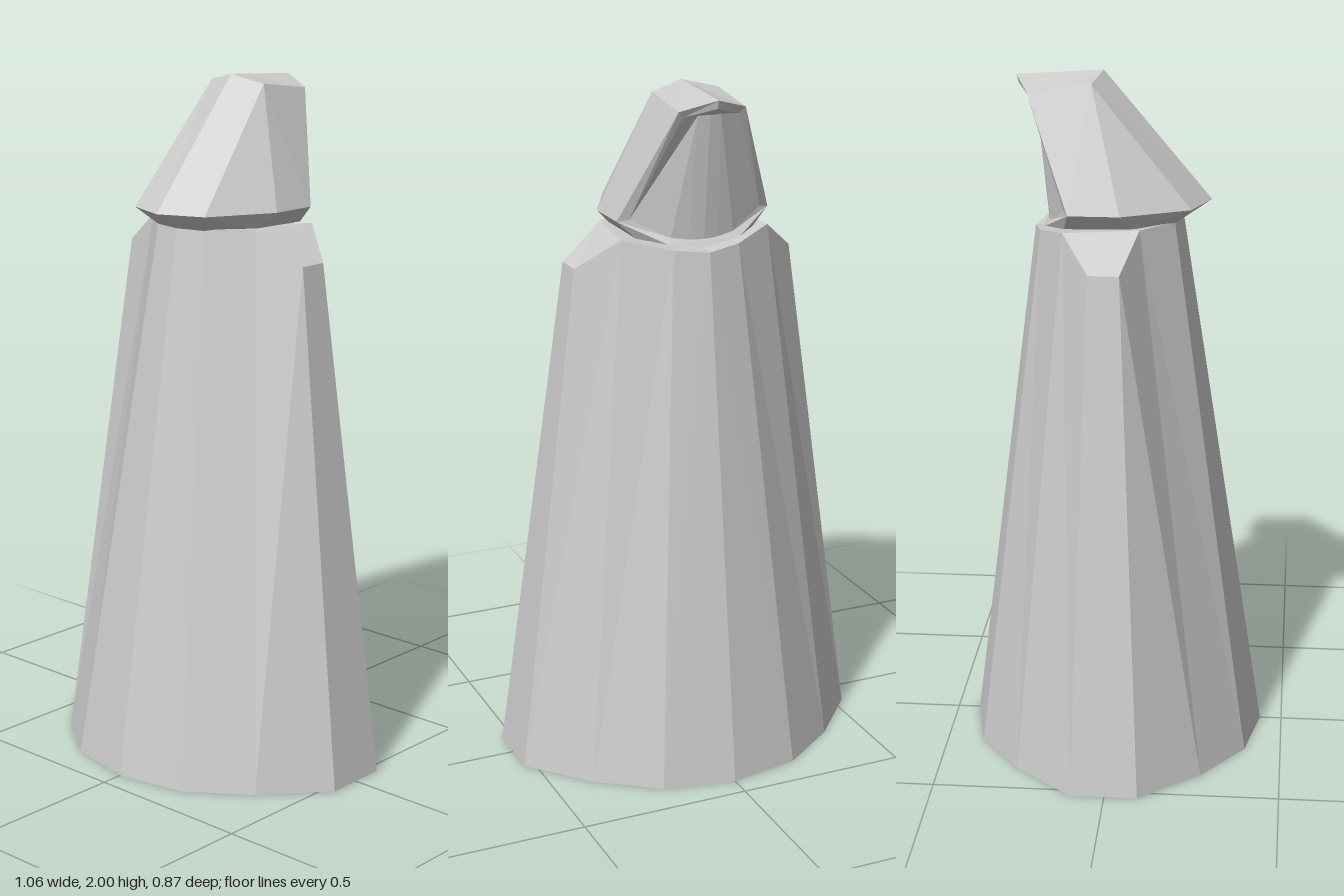
import * as THREE from 'three';

const cloth = new THREE.MeshStandardMaterial({ color: 0xcccccc, flatShading: true, side: THREE.DoubleSide });
cloth.name = 'pale grey cloth';

// Flat polygons given for the +x half, mirrored to -x, each turned away from the centre.
function mirroredFaces(name, faces, centre) {
  const pos = [];
  const c = new THREE.Vector3(...centre);
  const addTriangle = (a, b, d) => {
    const n = b.clone().sub(a).cross(d.clone().sub(a));
    const outward = a.clone().add(b).add(d).divideScalar(3).sub(c);
    const tri = n.dot(outward) < 0 ? [a, d, b] : [a, b, d];
    tri.forEach((p) => pos.push(p.x, p.y, p.z));
  };
  for (const face of faces) {
    for (const side of [1, -1]) {
      const pts = face.map(([x, y, z]) => new THREE.Vector3(x * side, y, z));
      for (let i = 1; i < pts.length - 1; i++) addTriangle(pts[0], pts[i], pts[i + 1]);
    }
  }
  const geo = new THREE.BufferGeometry();
  geo.setAttribute('position', new THREE.Float32BufferAttribute(pos, 3));
  geo.computeVertexNormals();
  const mesh = new THREE.Mesh(geo, cloth);
  mesh.name = name;
  return mesh;
}

// Quads between two rows of points
const strip = (a, b) => a.slice(1).map((p, i) => [a[i], p, b[i + 1], b[i]]);

export function createModel() {
  const group = new THREE.Group();
  group.name = 'hoodedFigure';

  // Robe: half outlines running from front centre round to back centre
  const hem = [[0, 0, 0.435], [0.21, 0, 0.393], [0.38, 0, 0.27], [0.532, 0, 0.095],
    [0.532, 0, -0.098], [0.38, 0, -0.27], [0.21, 0, -0.393], [0, 0, -0.435]];
  const top = [[0, 1.59, 0.185], [0.09, 1.59, 0.165], [0.2, 1.59, 0.073], [0.335, 1.495, 0.027],
    [0.335, 1.495, -0.06], [0.225, 1.585, -0.14], [0.1, 1.56, -0.215], [0, 1.55, -0.24]];
  const shoulder = [top[2], top[3], top[4], top[5]];
  const neckCap = [top[0], top[1], top[2], top[5], top[6], top[7]];
  group.add(mirroredFaces('robe', [...strip(hem, top), shoulder, neckCap, hem], [0, 0.8, 0]));

  // Hood: brim, crown and the overhanging peak
  const brim = [[0, 1.635, 0.265], [0.135, 1.635, 0.213], [0.232, 1.635, 0.02], [0.232, 1.635, -0.125]];
  const collar = [[0, 1.585, 0.185], [0.09, 1.585, 0.165], [0.18, 1.585, 0.05], [0.18, 1.585, -0.14]];
  const crown = [[0, 2, -0.043], [0.1, 1.977, -0.07]];
  const peak = [[0, 1.984, -0.29], [0.1, 1.953, -0.25]];
  const chin = [[0.11, 1.575, -0.2], [0, 1.56, -0.212]];
  group.add(mirroredFaces('hood', [
    [brim[0], brim[1], crown[1], crown[0]],
    [brim[1], brim[2], crown[1]],
    [crown[1], brim[2], brim[3], peak[1]],
    [crown[0], crown[1], peak[1], peak[0]],
    ...strip(brim, collar),
    [brim[3], collar[3], chin[0]],
  ], [0, 1.75, -0.05]));

  // Rim round the opening
  const outer = [...peak, brim[3], ...chin];
  const inner = [[0, 1.96, -0.284], [0.085, 1.935, -0.243], [0.2, 1.64, -0.138],
    [0.095, 1.59, -0.187], [0, 1.577, -0.2]];
  group.add(mirroredFaces('hoodRim', strip(outer, inner), [0, 1.75, -0.05]));

  // Faceted face within the opening
  const spine = [[0.035, 1.935, -0.232], [0.045, 1.58, -0.195]];
  group.add(mirroredFaces('face', [
    [[0, 1.935, -0.236], spine[0], spine[1], [0, 1.58, -0.2]],
    [spine[0], inner[1], inner[2], inner[3], spine[1]],
    [inner[0], inner[1], spine[0], [0, 1.935, -0.236]],
  ], [0, 1.75, -0.05]));

  return group;
}
